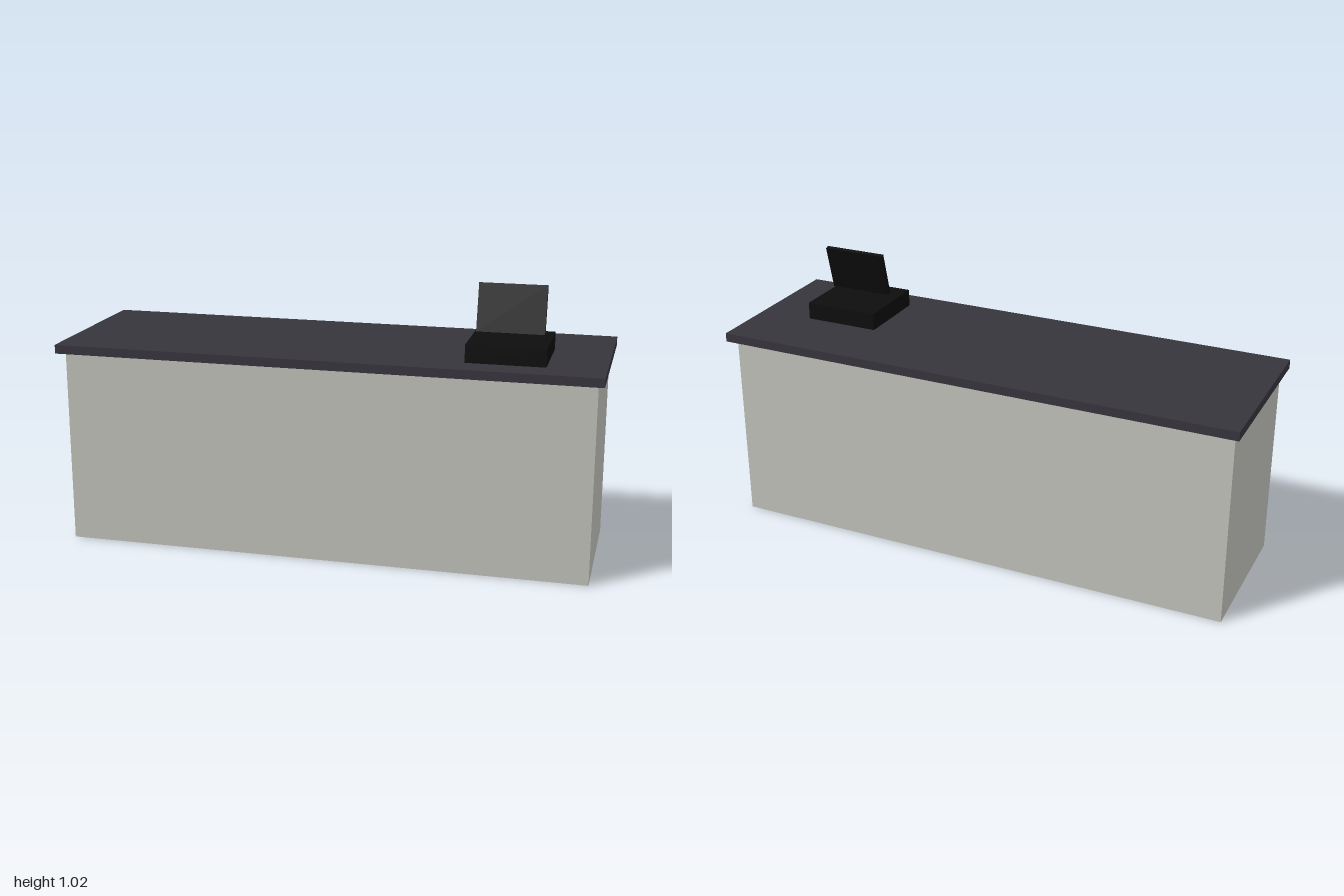
import * as THREE from 'three';

function material(name, color) {
  const m = new THREE.MeshStandardMaterial({ color });
  m.name = name;
  return m;
}

export function createModel() {
  const group = new THREE.Group();
  group.name = 'checkoutCounter';
  const paleGrey = material('pale grey', 0xc2c2bb);
  const charcoal = material('charcoal', 0x37353c);
  const black = material('black', 0x0d0d0d);

  // Box resting with its underside at height y
  function box(name, mat, w, h, d, x, y, z) {
    const mesh = new THREE.Mesh(new THREE.BoxGeometry(w, h, d), mat);
    mesh.name = name;
    mesh.position.set(x, y + h / 2, z);
    group.add(mesh);
    return mesh;
  }

  // Counter body and overhanging top
  box('counterBody', paleGrey, 1.954, 0.733, 0.568, 0, 0, 0);
  box('counterTop', charcoal, 2, 0.033, 0.65, 0, 0.733, 0);

  // Till with a floating screen that leans back
  box('tillBase', black, 0.285, 0.065, 0.285, 0.65, 0.766, 0.081);
  const screen = box('tillScreen', black, 0.244, 0.175, 0.016, 0.65, 0.85, 0.081);
  screen.rotation.x = -0.25;

  return group;
}
